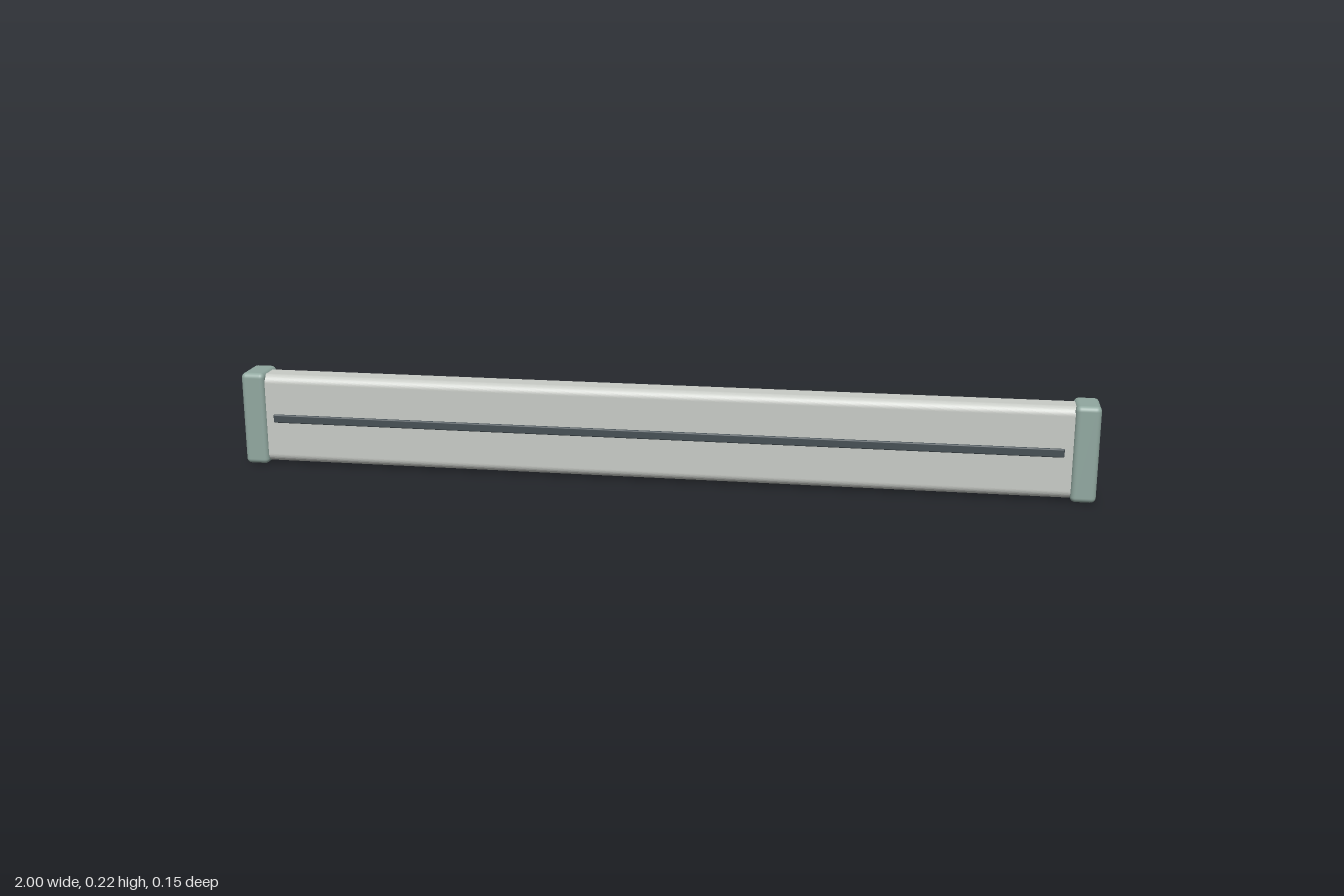
import * as THREE from 'three';
import { RoundedBoxGeometry } from 'three/addons/geometries/RoundedBoxGeometry.js';

const material = (name, color) => {
  const m = new THREE.MeshStandardMaterial({ color });
  m.name = name;
  return m;
};

export function createModel() {
  const group = new THREE.Group();
  const shell = material('pale grey', 0xc8cbc6);
  const cap = material('sage green', 0x91a8a0);
  const dark = material('charcoal', 0x454f54);

  // Rounded block given by its extents along each axis
  const block = (name, mat, [x0, x1], [y0, y1], [z0, z1], radius, segments = 4) => {
    const geometry = new RoundedBoxGeometry(x1 - x0, y1 - y0, z1 - z0, segments, radius);
    const mesh = new THREE.Mesh(geometry, mat);
    mesh.name = name;
    mesh.position.set((x0 + x1) / 2, (y0 + y1) / 2, (z0 + z1) / 2);
    group.add(mesh);
  };

  // Long housing: rounded-rectangle section swept along x, ends hidden in the caps
  const w = 0.039, h = 0.107, r = 0.02;
  const section = new THREE.Shape();
  section.moveTo(-w + r, -h);
  section.absarc(w - r, -h + r, r, -Math.PI / 2, 0);
  section.absarc(w - r, h - r, r, 0, Math.PI / 2);
  section.absarc(-w + r, h - r, r, Math.PI / 2, Math.PI);
  section.absarc(-w + r, -h + r, r, Math.PI, Math.PI * 1.5);
  const housingGeometry = new THREE.ExtrudeGeometry(section, { depth: 1.94, bevelEnabled: false, curveSegments: 8 });
  housingGeometry.translate(0, 0, -0.97).rotateY(Math.PI / 2);
  const housing = new THREE.Mesh(housingGeometry, shell);
  housing.name = 'housing';
  housing.position.set(0, 0.112, 0.027);
  group.add(housing);

  // End caps
  block('leftEndCap', cap, [0.943, 1], [0, 0.224], [-0.02, 0.074], 0.012);
  block('rightEndCap', cap, [-1, -0.943], [0, 0.224], [-0.02, 0.074], 0.012);

  // Rear mounting block
  block('rearMount', dark, [-0.895, 0.895], [0.032, 0.194], [-0.074, -0.005], 0.006, 3);

  // Slim front slot strip
  block('frontStrip', dark, [-0.925, 0.925], [0.104, 0.124], [0.062, 0.071], 0.003, 2);

  return group;
}
